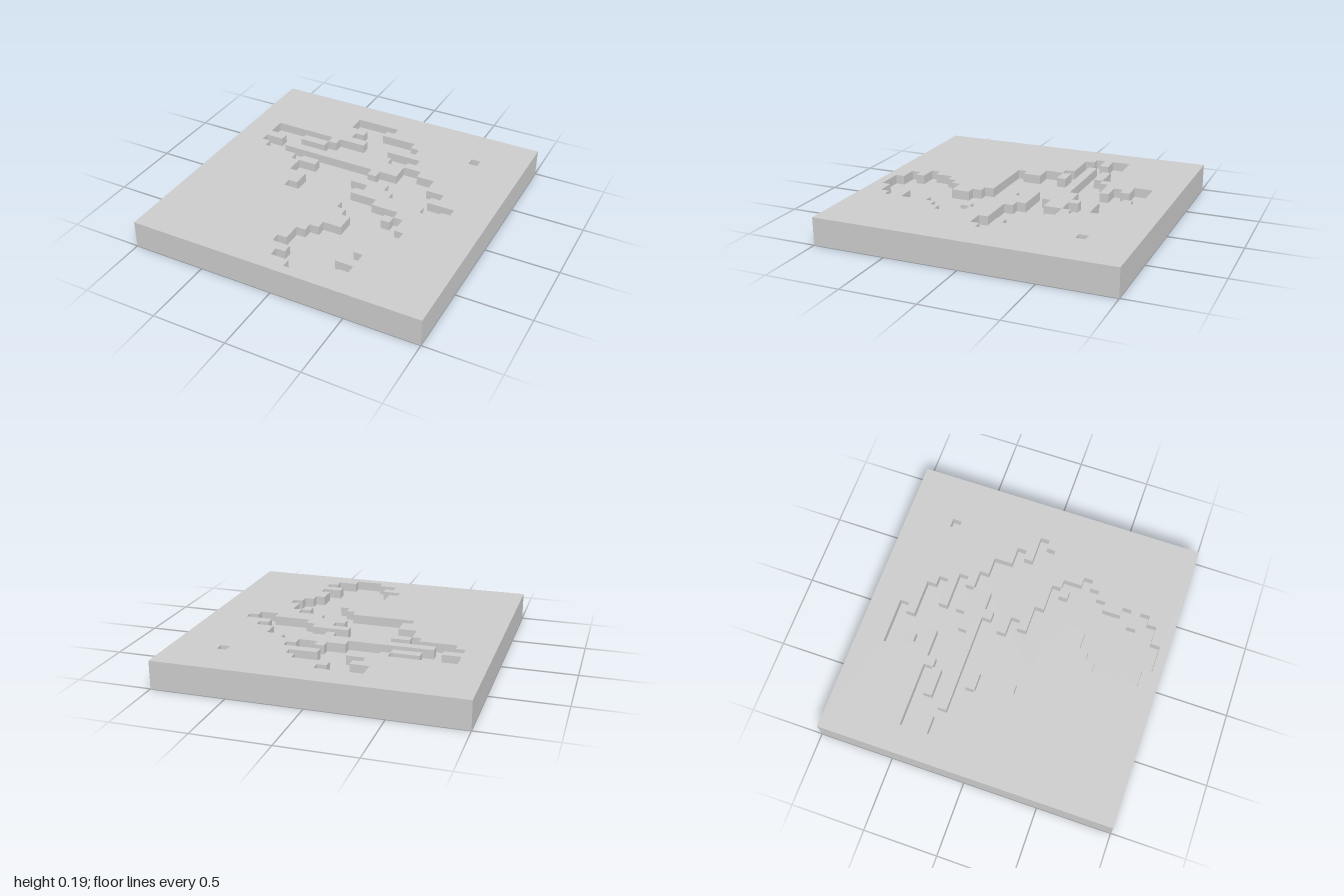
import * as THREE from 'three';

const CELL = 2 / 32;          // the pattern sits on a 32 x 32 grid
const HEIGHT = 3 * CELL;      // full thickness of the slab
const DEPTH = CELL;           // depth of the recess

// Right-angled outline: each pair goes across to a column, then along to a row
function outline(col, row, steps) {
  const at = (c, r) => new THREE.Vector2(c * CELL - 1, r * CELL - 1);
  const points = [];
  for (let i = 0; i < steps.length; i += 2) {
    points.push(at(steps[i], row), at(steps[i], steps[i + 1]));
    row = steps[i + 1];
  }
  return points;
}

const rect = (c0, r0, c1, r1) => outline(c0, r0, [c1, r1, c0, r0]);

export function createModel() {
  const group = new THREE.Group();
  const material = new THREE.MeshStandardMaterial({ color: 0xcccccc, flatShading: true });

  const add = (name, geometry, y) => {
    const mesh = new THREE.Mesh(geometry, material);
    mesh.name = name;
    mesh.position.y = y;
    group.add(mesh);
  };

  // Lays a flat outline down as a layer whose top is level with the slab
  const addLayer = (name, points, holes = []) => {
    const shape = new THREE.Shape(points);
    shape.holes = holes.map((h) => new THREE.Path(h));
    const geometry = new THREE.ExtrudeGeometry(shape, { depth: DEPTH, bevelEnabled: false });
    add(name, geometry.rotateX(Math.PI / 2), HEIGHT);
  };

  // Solid base, its top is the floor of the recess
  const baseHeight = HEIGHT - DEPTH;
  add('base', new THREE.BoxGeometry(2, baseHeight, 2), baseHeight / 2);

  // Top layer with the stepped recess and one single-cell pit
  const recess = outline(11, 3, [
    16, 4, 15, 5, 19, 6, 20, 7, 17, 8, 21, 9, 20, 10, 22, 11, 24, 13, 26, 14,
    25, 15, 28, 16, 27, 17, 25, 16, 21, 15, 20, 14, 16, 15, 18, 16, 17, 17, 20, 18,
    23, 19, 24, 21, 25, 22, 24, 23, 23, 24, 22, 26, 23, 27, 21, 28, 23, 29, 22, 30,
    20, 31, 17, 30, 15, 29, 16, 28, 14, 27, 15, 25, 16, 24, 17, 23, 19, 21, 18, 20,
    17, 19, 10, 18, 11, 16, 9, 14, 8, 13, 4, 12, 3, 11, 5, 10, 3, 8, 10, 9,
    11, 8, 14, 7, 12, 6, 13, 5, 11, 3,
  ]);
  addLayer('topLayer', rect(0, 0, 32, 32), [recess, rect(26, 5, 27, 6)]);

  // Islands left standing inside the recess
  addLayer('longIsland', outline(6, 11, [15, 10, 17, 9, 18, 10, 20, 12, 18, 13, 17, 12, 6, 11]));
  [[7, 9, 10, 10], [9, 13, 11, 14], [22, 19, 23, 20]].forEach((r, i) =>
    addLayer(`smallIsland${i + 1}`, rect(...r)));

  return group;
}
